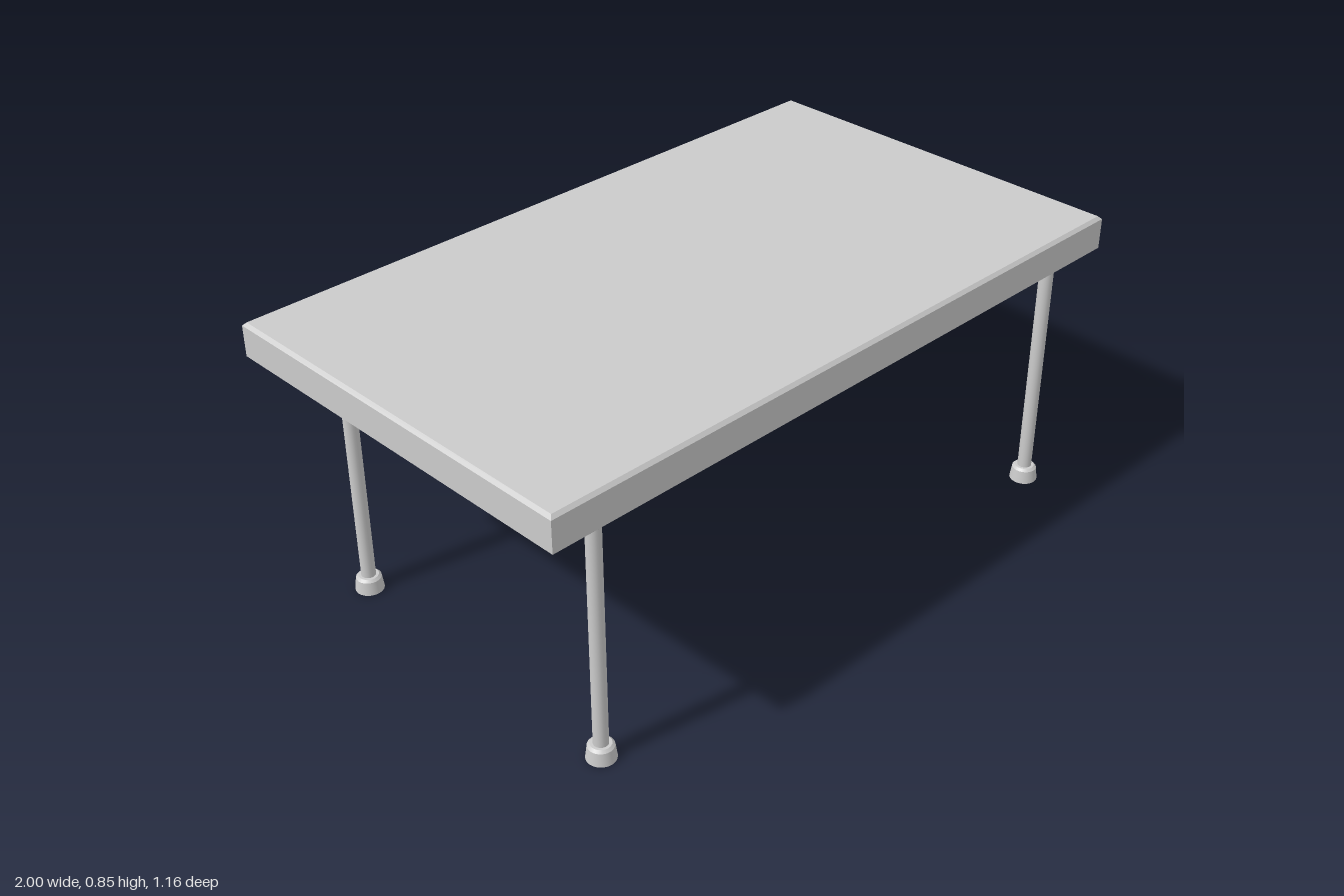
import * as THREE from 'three';

const material = new THREE.MeshStandardMaterial({ color: 0xcccccc, side: THREE.DoubleSide });
const flatMaterial = new THREE.MeshStandardMaterial({ color: 0xcccccc, flatShading: true });

// Rectangular shell: rings of [inset, height] joined in order, with both ends capped
function rectangularShell(halfX, halfZ, rings) {
  const positions = [];
  const index = [];
  rings.forEach(([inset, y]) => {
    const x = halfX - inset, z = halfZ - inset;
    positions.push(-x, y, z, x, y, z, x, y, -z, -x, y, -z);
  });
  for (let i = 0; i < rings.length - 1; i++) {
    for (let j = 0; j < 4; j++) {
      const a = i * 4 + j, b = i * 4 + (j + 1) % 4;
      index.push(a, b, b + 4, a, b + 4, a + 4);
    }
  }
  const t = (rings.length - 1) * 4;
  index.push(0, 2, 1, 0, 3, 2, t, t + 1, t + 2, t, t + 2, t + 3);
  const indexed = new THREE.BufferGeometry();
  indexed.setAttribute('position', new THREE.Float32BufferAttribute(positions, 3));
  indexed.setIndex(index);
  const geometry = indexed.toNonIndexed();
  geometry.computeVertexNormals();
  return geometry;
}

function createLeg() {
  const leg = new THREE.Group();
  leg.name = 'leg';

  // Round post reaching up to the underside of the top
  const bottom = 0.04, top = 0.827;
  const post = new THREE.Mesh(new THREE.CylinderGeometry(0.02, 0.02, top - bottom, 20), material);
  post.name = 'legPost';
  post.position.y = (top + bottom) / 2;
  leg.add(post);

  // Flared cup foot, open underneath, with a bevelled shoulder
  const profile = [[0.04, 0], [0.035, 0.038], [0.028, 0.045], [0.0, 0.045]];
  for (let i = 0; i < profile.length - 1; i++) {
    const points = [profile[i], profile[i + 1]].map(([r, y]) => new THREE.Vector2(r, y));
    const band = new THREE.Mesh(new THREE.LatheGeometry(points, 20), material);
    band.name = 'foot';
    leg.add(band);
  }
  return leg;
}

export function createModel() {
  const table = new THREE.Group();
  table.name = 'table';

  // Top with bevelled edge, apron and recessed underside
  const top = new THREE.Mesh(rectangularShell(1, 0.58, [
    [0.05, 0.825], [0.05, 0.745], [0.003, 0.745],
    [0, 0.748], [0, 0.836], [0.009, 0.845],
  ]), flatMaterial);
  top.name = 'tableTop';
  table.add(top);

  // Four legs, set slightly off centre
  for (const x of [-0.815, 0.88]) {
    for (const z of [-0.435, 0.5]) {
      const leg = createLeg();
      leg.position.set(x, 0, z);
      table.add(leg);
    }
  }
  return table;
}
